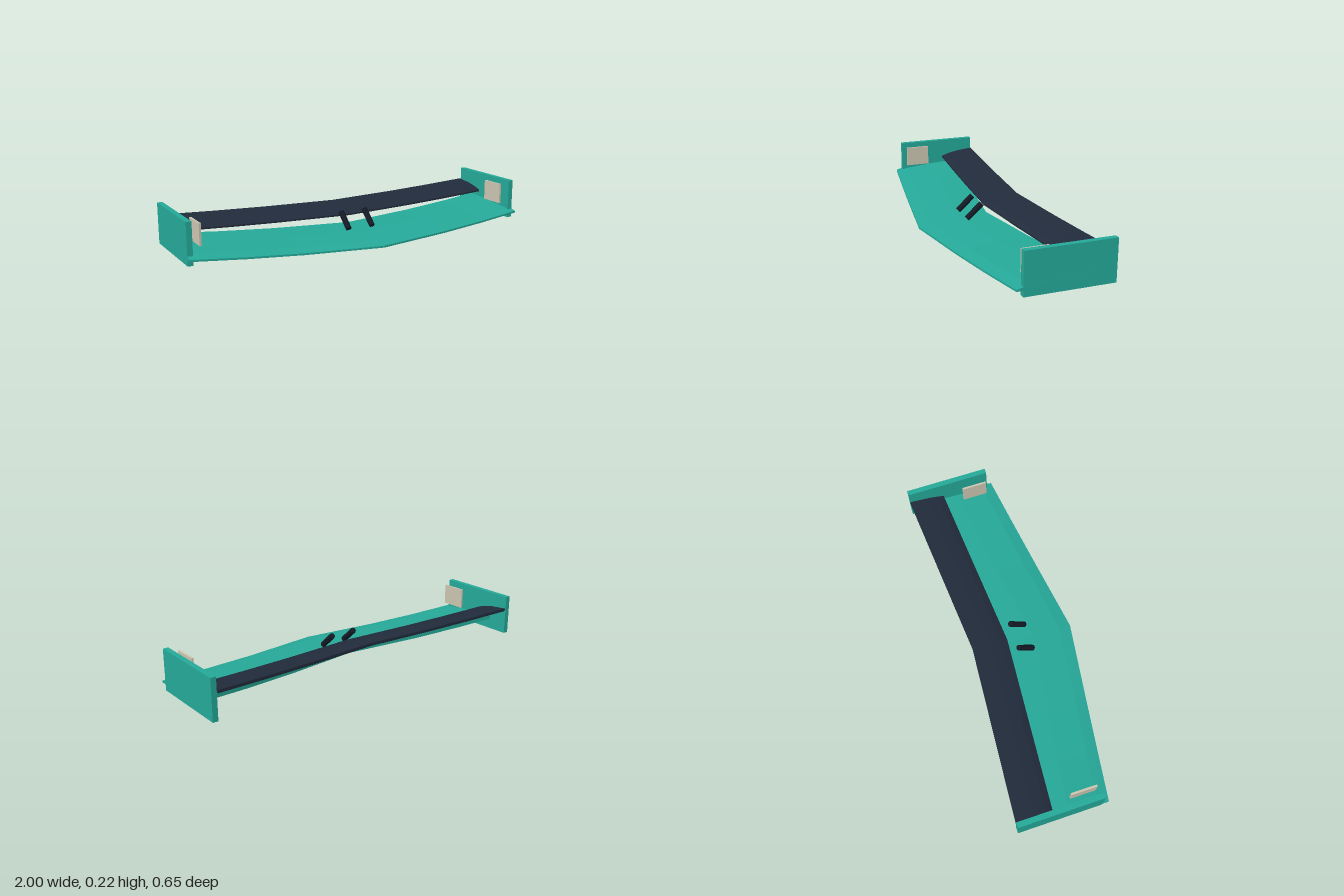
import * as THREE from 'three';

const material = (name, color) => {
  const m = new THREE.MeshStandardMaterial({ color });
  m.name = name;
  return m;
};

// Lofts a (z, y) profile along x, sweeping it back and raising it towards both tips.
function wingGeometry(profile, halfSpan, sweep, rise) {
  const stations = [-1, -0.72, -0.43, 0, 0.43, 0.72, 1];
  const rings = stations.map(t => profile.map(([z, y]) =>
    [t * halfSpan, y + rise * t * t, z - sweep * Math.abs(t)]));
  const positions = [];
  const tri = (a, b, c) => positions.push(...a, ...b, ...c);
  const n = profile.length;
  for (let s = 0; s < rings.length - 1; s++) {
    for (let i = 0; i < n; i++) {
      const j = (i + 1) % n;
      const a = rings[s][i], b = rings[s][j], c = rings[s + 1][j], d = rings[s + 1][i];
      tri(a, d, c);
      tri(a, c, b);
    }
  }
  const first = rings[0], last = rings[rings.length - 1];
  for (let i = 1; i < n - 1; i++) {
    tri(first[0], first[i], first[i + 1]);
    tri(last[0], last[i + 1], last[i]);
  }
  const geometry = new THREE.BufferGeometry();
  geometry.setAttribute('position', new THREE.Float32BufferAttribute(positions, 3));
  geometry.computeVertexNormals();
  return geometry;
}

export function createModel() {
  const teal = material('teal paint', 0x25a898);
  const navy = material('dark navy', 0x212b3b);
  const black = material('near black', 0x141a26);
  const beige = material('warm grey', 0xcac4b0);

  const group = new THREE.Group();
  group.name = 'frontWing';
  const add = (name, geometry, mat, x = 0, y = 0, z = 0) => {
    const mesh = new THREE.Mesh(geometry, mat);
    mesh.name = name;
    mesh.position.set(x, y, z);
    group.add(mesh);
    return mesh;
  };

  // Swept main plane
  add('mainPlane', wingGeometry([
    [0.324, 0.01], [0.26, 0.025], [0.1, 0.041], [-0.065, 0.05],
    [-0.065, 0.028], [0.1, 0.007], [0.324, 0],
  ], 1, 0.147, 0.035), teal);

  // Upper flap behind it
  add('upperFlap', wingGeometry([
    [-0.05, 0.102], [-0.085, 0.115], [-0.15, 0.129], [-0.25, 0.14],
    [-0.25, 0.124], [-0.15, 0.106], [-0.05, 0.093],
  ], 0.964, 0.074, 0.017), navy);

  for (const side of [-1, 1]) {
    const label = side > 0 ? 'left' : 'right';

    // Tall end plate
    add(label + 'EndPlate', new THREE.BoxGeometry(0.029, 0.222, 0.467), teal,
      side * 0.985, 0.114, -0.09);

    // Small vertical fin inside the end plate
    add(label + 'Fin', new THREE.BoxGeometry(0.011, 0.115, 0.14), beige,
      side * 0.924, 0.148, 0.055);

    // Leaning mounting strut
    const bottom = new THREE.Vector3(side * 0.073, 0.053, 0.075);
    const top = new THREE.Vector3(side * 0.073, 0.129, -0.01);
    const axis = top.clone().sub(bottom);
    const geometry = new THREE.CylinderGeometry(0.016, 0.016, axis.length(), 8);
    geometry.rotateY(Math.PI / 8);
    const middle = bottom.clone().add(top).multiplyScalar(0.5);
    const strut = add(label + 'Strut', geometry, black, middle.x, middle.y, middle.z);
    strut.quaternion.setFromUnitVectors(new THREE.Vector3(0, 1, 0), axis.normalize());
  }
  return group;
}
